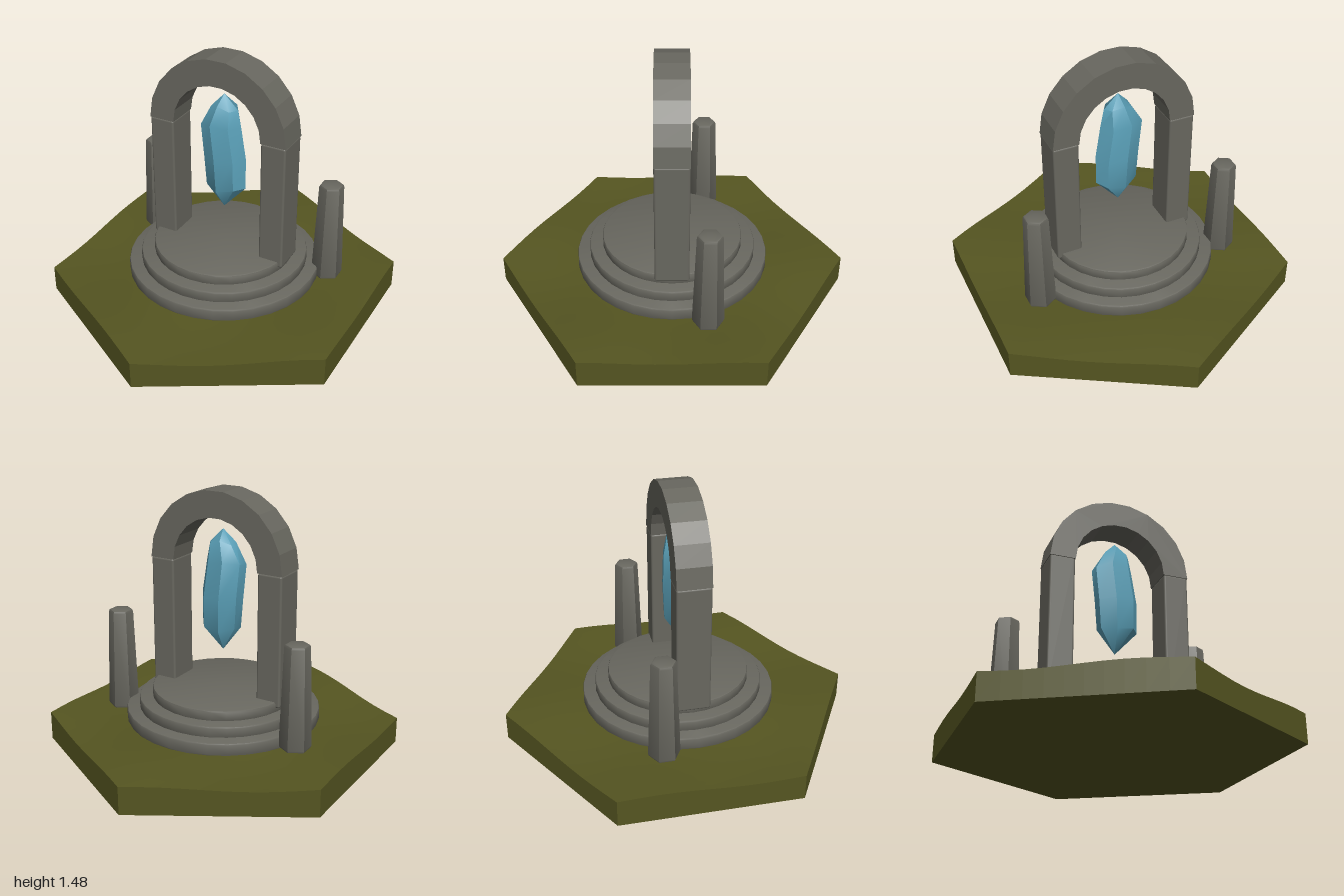
import * as THREE from 'three';
import { toCreasedNormals } from 'three/addons/utils/BufferGeometryUtils.js';
import { RoundedBoxGeometry } from 'three/addons/geometries/RoundedBoxGeometry.js';

const mat = (name, color) => {
  const m = new THREE.MeshStandardMaterial({ color });
  m.name = name;
  return m;
};

// Gentle bumps of the mossy ground
const groundHeight = (x, z) =>
  0.149 + 0.010 * Math.sin(6.5 * x + 1.2 * z + 2.2) + 0.008 * Math.sin(7 * z - 3 * x + 0.6);

// Pull a round geometry in to a hexagon with corners on the z axis
function toHexagon(geo, shape) {
  const p = geo.attributes.position;
  const third = Math.PI / 3;
  for (let i = 0; i < p.count; i++) {
    const x = p.getX(i), z = p.getZ(i);
    const a = (Math.atan2(x, z) + 2 * Math.PI + 1e-7) % third;
    const k = Math.cos(third / 2) / Math.cos(a - third / 2);
    p.setXYZ(i, x * k, shape(x * k, p.getY(i), z * k), z * k);
  }
  return geo;
}

// Turned profile with bevelled rims, keeping hard edges
function bevelled(rBottom, rTop, height, bevel, sides) {
  const pts = [
    [0, 0], [rBottom - bevel, 0], [rBottom - bevel * 0.3, bevel * 0.3], [rBottom, bevel],
    [rTop, height - bevel], [rTop - bevel * 0.3, height - bevel * 0.3], [rTop - bevel, height], [0, height],
  ].map(([x, y]) => new THREE.Vector2(x, y));
  return toCreasedNormals(new THREE.LatheGeometry(pts, sides), 0.75);
}

// Closed crystal from offset, flattened rings between two tips
function crystalGeometry(sides) {
  // y, centre x, half width, half depth
  const rings = [
    [0.565, 0, 0, 0], [0.70, 0.014, 0.119, 0.08], [0.88, 0.008, 0.126, 0.088],
    [1.08, -0.017, 0.12, 0.088], [1.19, 0.005, 0.078, 0.06], [1.26, 0, 0, 0],
  ];
  const pos = [], index = [];
  rings.forEach(([y, cx, w, d], r) => {
    for (let i = 0; i < sides; i++) {
      const a = (i / sides) * Math.PI * 2 + Math.PI / 2;
      const lift = r > 0 && r < 5 ? 0.014 * Math.sin(i * 2.1 + r) : 0;
      pos.push(cx + Math.sin(a) * w, y + lift, Math.cos(a) * d);
      if (r === rings.length - 1) continue;
      const j = (i + 1) % sides, n = r * sides;
      if (r > 0) index.push(n + i, n + j, n + sides + j);
      if (r < rings.length - 2) index.push(n + i, n + sides + j, n + sides + i);
      else index.push();
      if (r === 0) index.push();
    }
  });
  const geo = new THREE.BufferGeometry();
  geo.setAttribute('position', new THREE.Float32BufferAttribute(pos, 3));
  geo.setIndex(index);
  return toCreasedNormals(geo, 0.6);
}

export function createModel() {
  const group = new THREE.Group();
  const stone = mat('stone', 0x68675f);
  const moss = mat('moss', 0x555521);
  const blue = mat('crystal blue', 0x5aa0b8);

  const add = (name, geo, material, x = 0, y = 0, z = 0) => {
    const m = new THREE.Mesh(geo, material);
    m.name = name;
    m.position.set(x, y, z);
    group.add(m);
    return m;
  };

  // Hexagonal ground: bumpy top, straight walls, flat underside
  const top = toHexagon(new THREE.RingGeometry(0.001, 1, 60, 14).rotateX(-Math.PI / 2),
    (x, y, z) => groundHeight(x, z));
  top.computeVertexNormals();
  add('groundTop', top, moss);
  const walls = toHexagon(new THREE.CylinderGeometry(1, 1, 2, 60, 1, true),
    (x, y, z) => (y > 0 ? groundHeight(x, z) : 0)).toNonIndexed();
  walls.computeVertexNormals();
  add('groundWalls', walls, moss);
  add('groundUnderside', new THREE.CircleGeometry(1, 6, Math.PI / 2).rotateX(Math.PI / 2), moss);

  // Three round steps
  [[0.55, 0.168, 0.073], [0.478, 0.236, 0.066], [0.402, 0.296, 0.063]].forEach(([r, y, h], i) =>
    add('step' + (i + 1), bevelled(r, r, h, 0.01, 32), stone, 0, y));

  // Pillars of the gateway and the standing stones beside it
  for (const [side, s] of [['left', 1], ['right', -1]]) {
    add(side + 'Pillar', new RoundedBoxGeometry(0.145, 0.745, 0.19, 2, 0.012), stone, s * 0.34, 0.6975, 0);
    add(side + 'StandingStone', bevelled(0.088, 0.069, 0.588, 0.016, 6), stone, s * 0.565, 0.175, -0.195);
  }

  // Faceted arch on top of the pillars
  const facets = 11;
  const arch = new THREE.Shape();
  for (const [r, back] of [[0.414, false], [0.266, true]]) {
    for (let i = 0; i <= facets; i++) {
      const a = ((back ? facets - i : i) / facets) * Math.PI;
      const x = Math.cos(a) * r, y = Math.sin(a) * r;
      if (!back && i === 0) arch.moveTo(x, y);
      else arch.lineTo(x, y);
    }
  }
  arch.closePath();
  const archGeo = new THREE.ExtrudeGeometry(arch, { depth: 0.19, bevelEnabled: false });
  add('arch', archGeo, stone, 0, 1.068, -0.095);

  // Floating crystal
  add('crystal', crystalGeometry(7), blue);

  return group;
}
